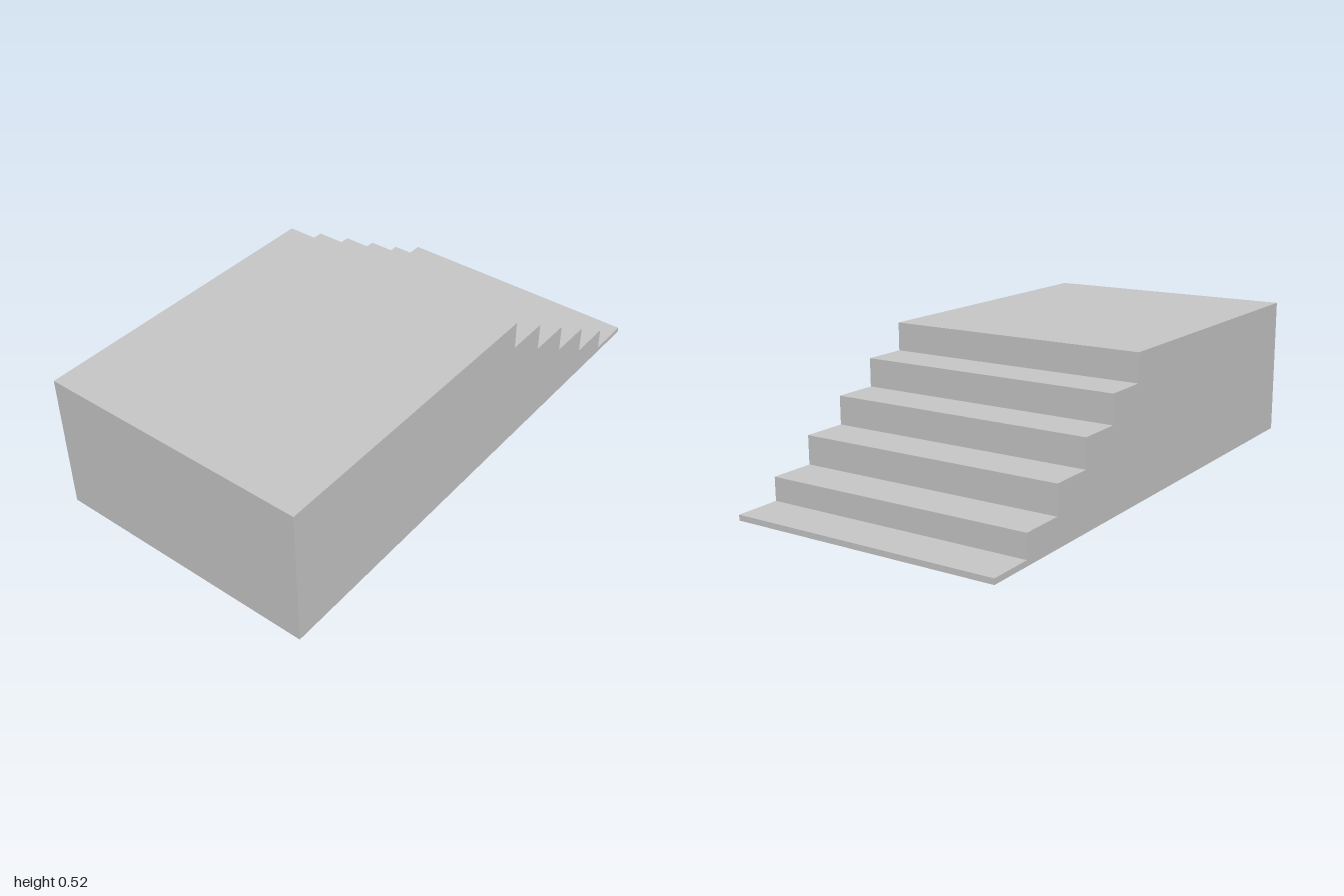
import * as THREE from 'three';

const WIDTH = 1;
const STEPS = 5;
const HEIGHT = 0.521;
const TREAD = 1 / 6;
const LIP = 0.02; // thin slab at the foot of the stairs

export function createModel() {
  const group = new THREE.Group();
  group.name = 'steppedPlatform';

  const stone = new THREE.MeshStandardMaterial({ color: 0xc8c8c8 });
  stone.name = 'light grey';

  // Side profile: shape x runs along the depth, shape y is height
  const profile = new THREE.Shape();
  profile.moveTo(-1, 0);
  profile.lineTo(1, 0);
  profile.lineTo(1, HEIGHT);
  for (let i = STEPS; i >= 1; i--) {
    const z = -1 + i * TREAD;
    const below = i === 1 ? LIP : (HEIGHT * (i - 1)) / STEPS;
    profile.lineTo(z, (HEIGHT * i) / STEPS);
    profile.lineTo(z, below);
  }
  profile.lineTo(-1, LIP);
  profile.closePath();

  // Sweep the profile across the width
  const geometry = new THREE.ExtrudeGeometry(profile, { depth: WIDTH, bevelEnabled: false });
  geometry.translate(0, 0, -WIDTH / 2);
  geometry.rotateY(-Math.PI / 2);

  const platform = new THREE.Mesh(geometry, stone);
  platform.name = 'platformWithStairs';
  group.add(platform);
  return group;
}
